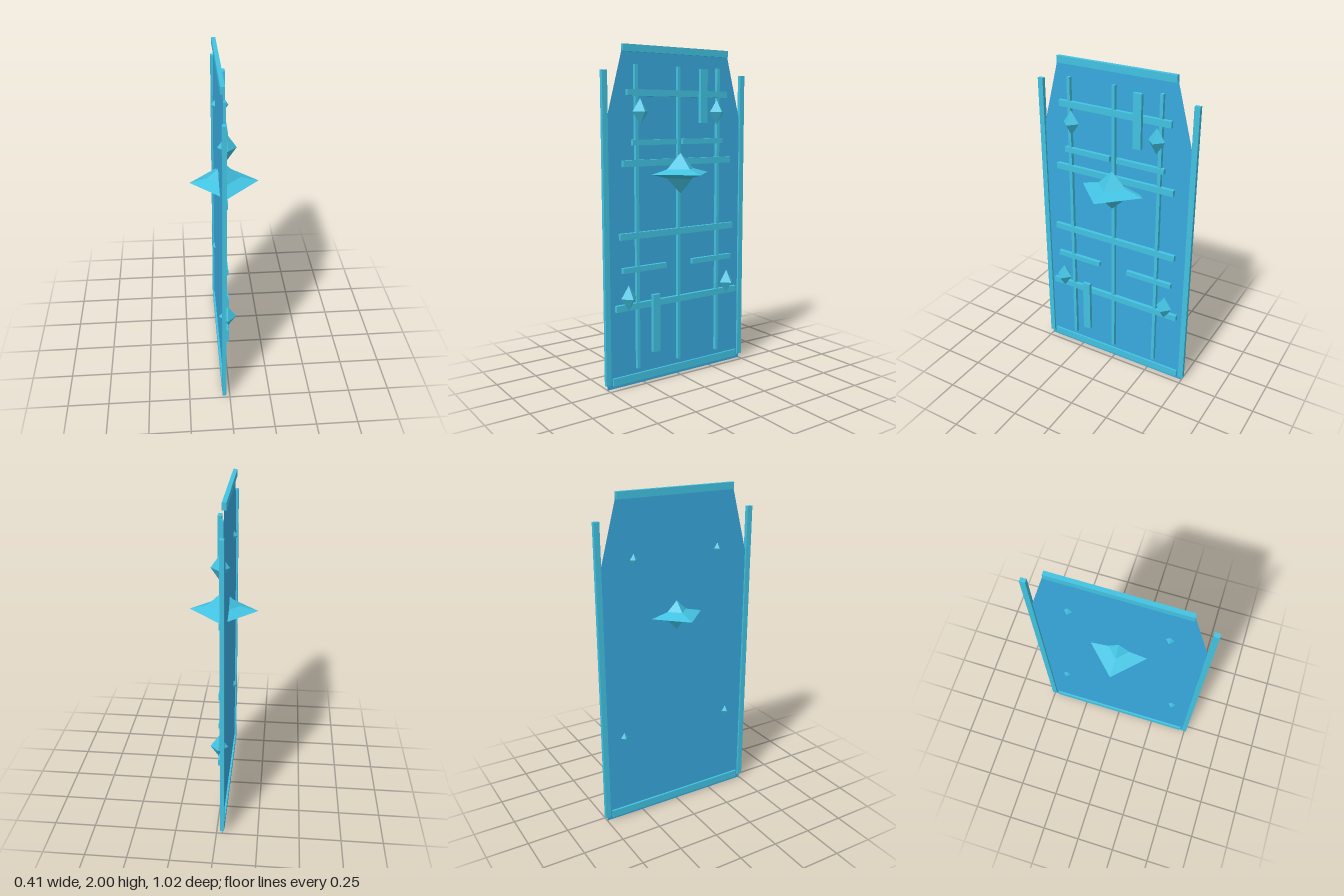
import * as THREE from 'three';

export function createModel() {
  const model = new THREE.Group();
  const panelBlue = new THREE.MeshStandardMaterial({ color: 0x38a9df, side: THREE.DoubleSide });
  panelBlue.name = 'panelBlue';
  const trimCyan = new THREE.MeshStandardMaterial({ color: 0x42c3e2, flatShading: true });
  trimCyan.name = 'trimCyan';

  function add(name, geometry, material, x, y, z) {
    const mesh = new THREE.Mesh(geometry, material);
    mesh.name = name;
    mesh.position.set(x, y, z);
    model.add(mesh);
  }

  // Box given by its limits on each axis
  function bar(name, [x0, x1], [y0, y1], [z0, z1]) {
    add(name, new THREE.BoxGeometry(x1 - x0, y1 - y0, z1 - z0), trimCyan,
      (x0 + x1) / 2, (y0 + y1) / 2, (z0 + z1) / 2);
  }

  // Four-sided crystal, corners on the x and z axes
  function crystal(name, profile, x, y, z) {
    const points = profile.map(([r, h]) => new THREE.Vector2(r, h));
    add(name, new THREE.LatheGeometry(points, 4), trimCyan, x, y, z);
  }

  // Thin door sheet with tapered shoulders, turned to face +x
  const outline = [[-0.5, 0], [0.5, 0], [0.5, 1.51], [0.37, 2], [-0.37, 2], [-0.5, 1.51]];
  const sheet = new THREE.ShapeGeometry(new THREE.Shape(outline.map(([z, y]) => new THREE.Vector2(z, y))));
  sheet.rotateY(Math.PI / 2);
  add('doorPanel', sheet, panelBlue, -0.035, 0, 0);

  // Outer frame
  const frameX = [-0.047, -0.023];
  bar('topRail', frameX, [1.96, 2], [-0.375, 0.375]);
  bar('bottomRail', frameX, [0.02, 0.065], [-0.465, 0.465]);
  bar('frontPost', frameX, [0.03, 1.853], [0.479, 0.512]);
  bar('backPost', frameX, [0.03, 1.853], [-0.512, -0.479]);

  // Upright ribs
  for (const z of [-0.295, 0, 0.295]) bar('uprightRib', [-0.034, -0.012], [0.1, 1.89], [z - 0.01, z + 0.01]);

  // Crossbars, widening downwards
  for (const [y, half] of [[1.732, 0.36], [1.331, 0.39], [0.909, 0.415], [0.487, 0.447]]) {
    bar('crossbar', [-0.029, -0.007], [y - 0.019, y + 0.019], [-half, half]);
  }

  // Paired short crossbars
  for (const [y, inner, outer] of [[1.45, 0.022, 0.327], [0.709, 0.097, 0.4]]) {
    bar('shortCrossbar', [-0.028, -0.006], [y - 0.016, y + 0.016], [inner, outer]);
    bar('shortCrossbar', [-0.028, -0.006], [y - 0.016, y + 0.016], [-outer, -inner]);
  }

  // Raised upright slats
  bar('upperSlat', [-0.006, 0.016], [1.56, 1.88], [-0.19, -0.139]);
  bar('lowerSlat', [-0.006, 0.016], [0.19, 0.545], [0.159, 0.21]);

  // Crystals
  crystal('centreCrystal', [[0, -0.122], [0.097, -0.027], [0.203, 0], [0.097, 0.027], [0, 0.122]], 0, 1.261, 0);
  for (const side of [-1, 1]) {
    for (const [y, z] of [[1.625, 0.277], [0.545, 0.365]]) {
      crystal('smallCrystal', [[0, -0.076], [0.052, 0], [0, 0.076]], -0.006, y, z * side);
    }
  }

  return model;
}
